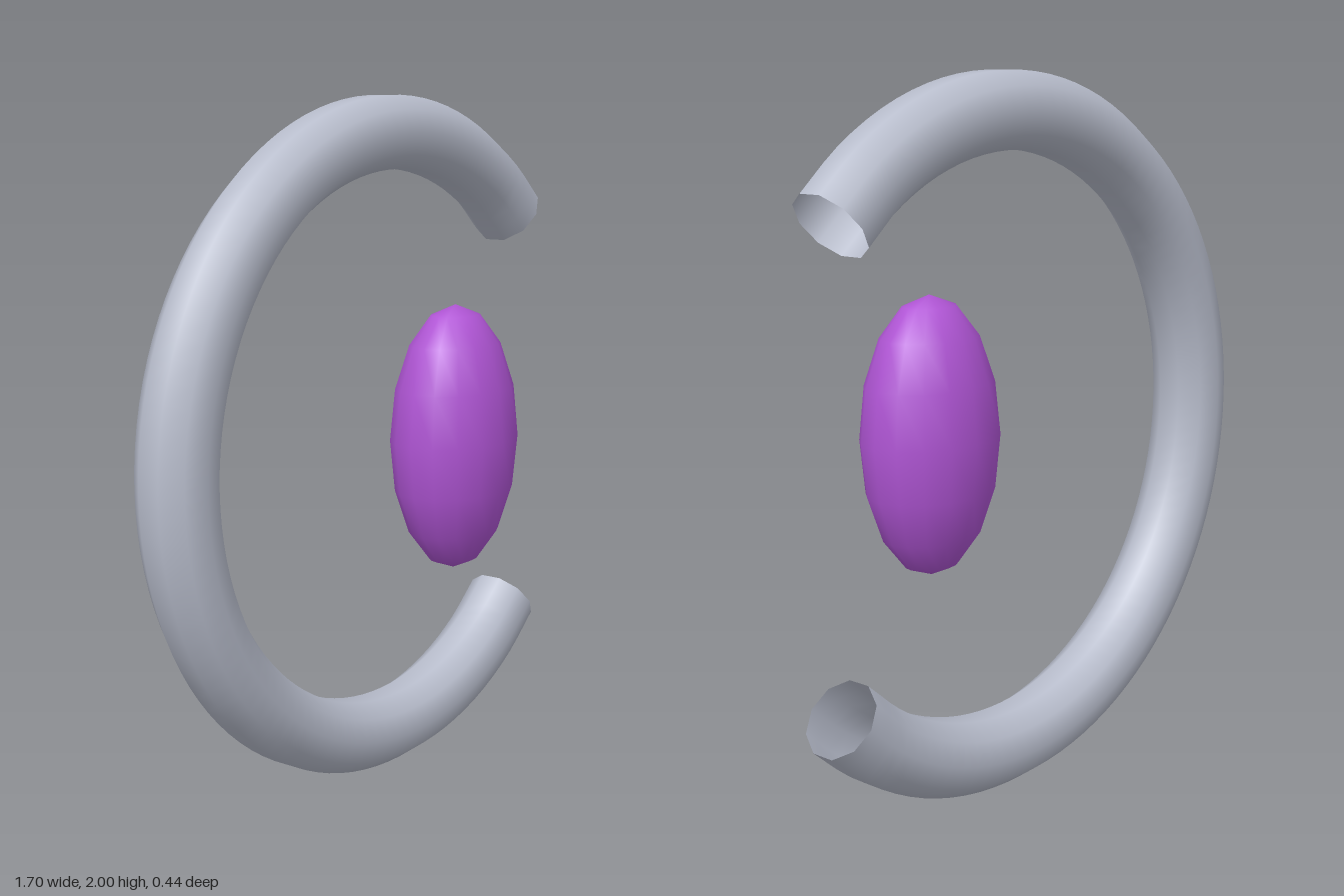
import * as THREE from 'three';

export function createModel() {
  const model = new THREE.Group();
  const silver = new THREE.MeshStandardMaterial({ color: 0xb8bdcc, side: THREE.DoubleSide });
  silver.name = 'silver';
  const purple = new THREE.MeshStandardMaterial({ color: 0xb055d5 });
  purple.name = 'purple';

  // Open ring: three quarters of a circle, swept as a ten-sided hollow tube
  const radius = 0.895, steps = 26;
  const points = [];
  for (let i = 0; i <= steps; i++) {
    const a = Math.PI * (0.25 + 1.5 * i / steps);
    points.push(new THREE.Vector3(radius * Math.cos(a), radius * Math.sin(a), 0));
  }
  const path = new THREE.CatmullRomCurve3(points);
  const ring = new THREE.Mesh(new THREE.TubeGeometry(path, 80, 0.11, 10, false), silver);
  ring.name = 'openRing';
  ring.position.set(0.148, 1, -0.112);
  model.add(ring);

  // Oval gem floating in the opening
  const gem = new THREE.Mesh(new THREE.SphereGeometry(1, 16, 8).scale(0.22, 0.397, 0.173), purple);
  gem.name = 'gem';
  gem.position.set(0.265, 1.002, 0.05);
  model.add(gem);

  return model;
}
